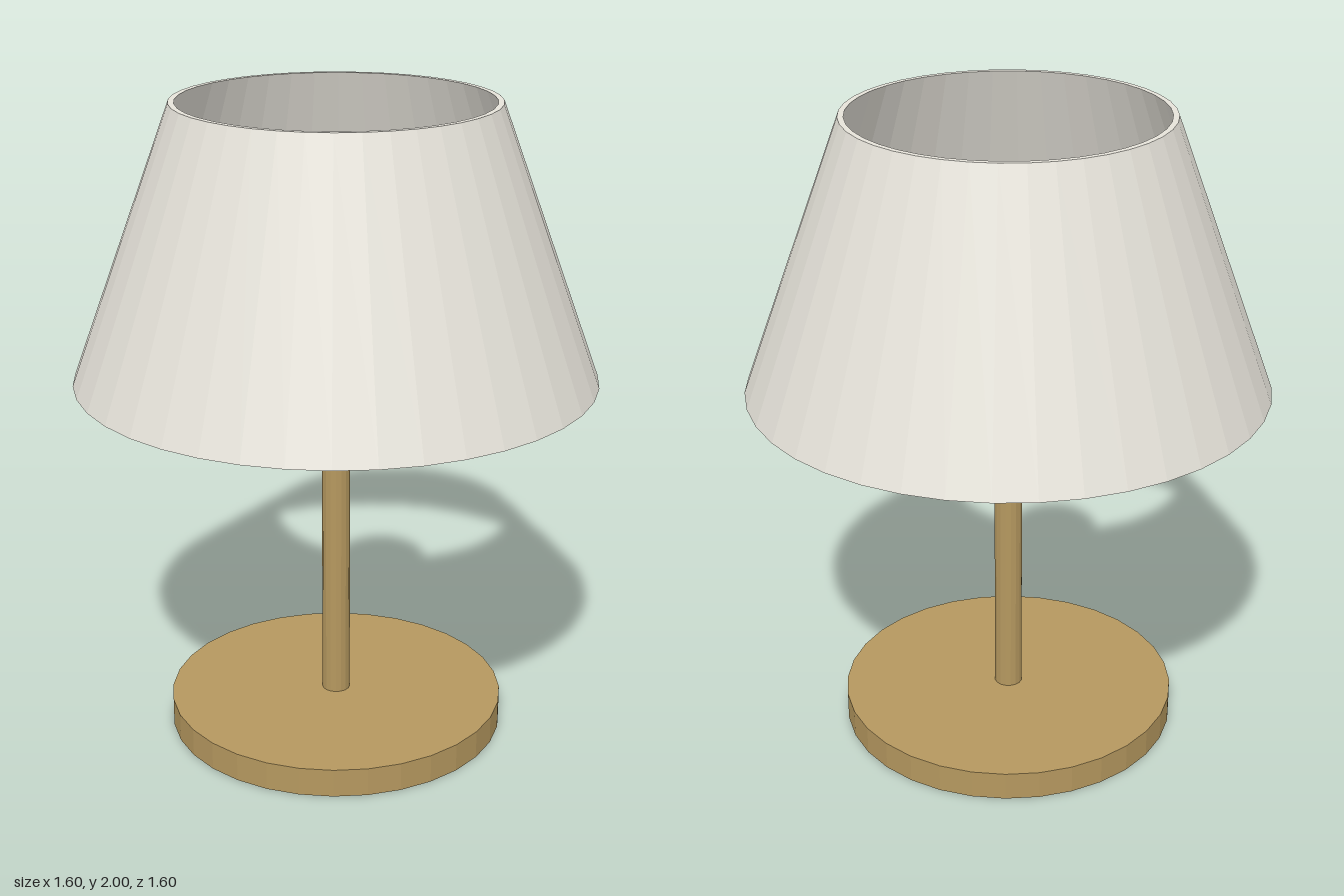
import * as THREE from 'three';

const material = (color) => new THREE.MeshStandardMaterial({ color, flatShading: true });

export function createModel() {
  const lamp = new THREE.Group();
  lamp.name = 'tableLamp';
  const brass = material(0xb5985f);

  const add = (name, geometry, mat, y = 0) => {
    const mesh = new THREE.Mesh(geometry, mat);
    mesh.name = name;
    mesh.position.y = y;
    lamp.add(mesh);
  };

  // Round foot and the stem that runs up into the bulb
  add('base', new THREE.CylinderGeometry(0.53, 0.53, 0.09, 32), brass, 0.045);
  add('stem', new THREE.CylinderGeometry(0.044, 0.044, 1.2, 16), brass, 0.69);

  // Globe bulb
  add('bulb', new THREE.SphereGeometry(0.176, 24, 16), material(0xfff0d0), 1.417);

  // Tapered shade, open at both ends, with a thin wall
  const wall = [[0.78, 1.16], [0.798, 1.16], [0.488, 2], [0.47, 2], [0.78, 1.16]];
  const profile = wall.map(([r, y]) => new THREE.Vector2(r, y));
  add('shade', new THREE.LatheGeometry(profile, 40), material(0xe6e3da));

  return lamp;
}
